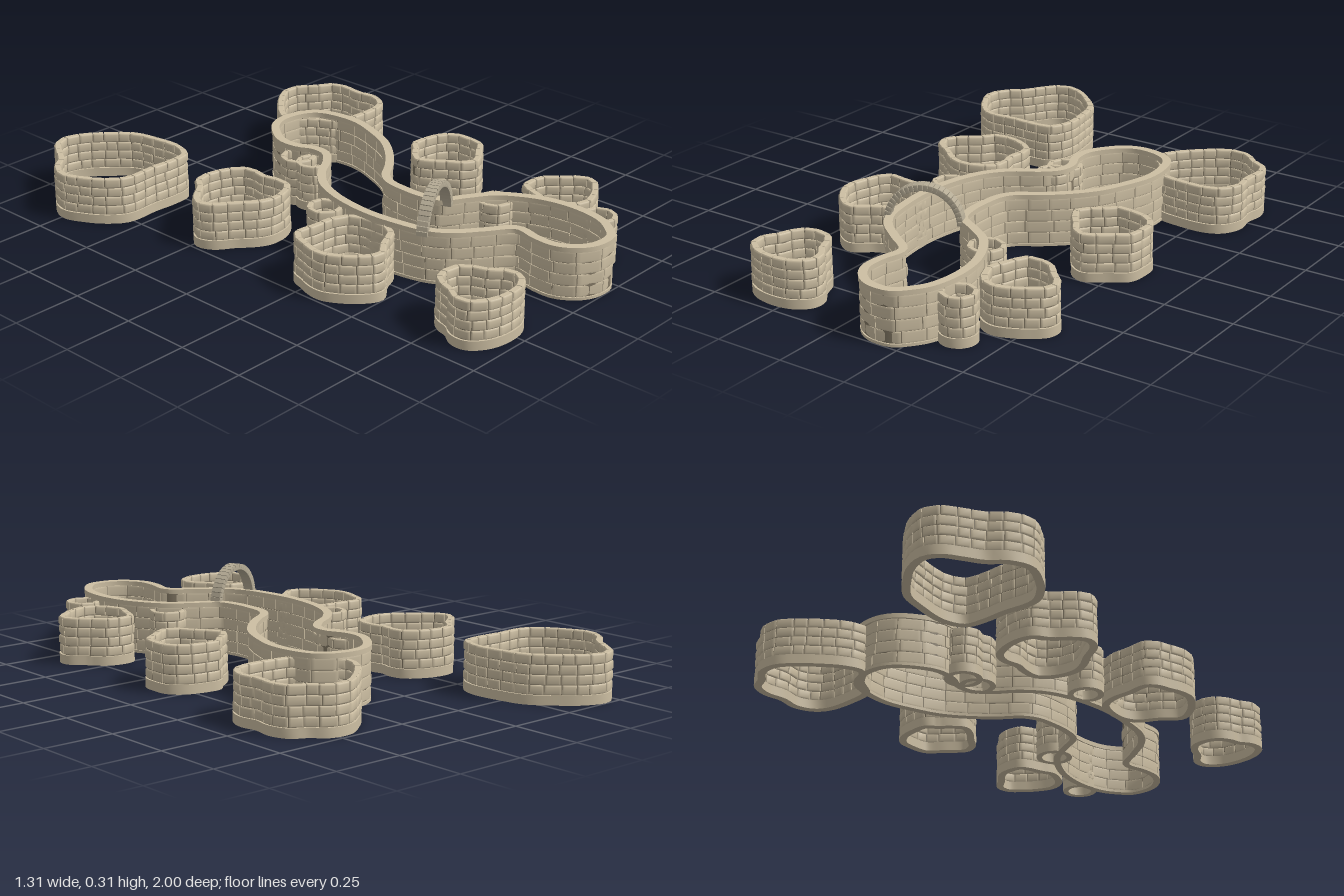
import * as THREE from 'three';
import { mergeGeometries, toCreasedNormals } from 'three/addons/utils/BufferGeometryUtils.js';

const stoneMat = new THREE.MeshStandardMaterial({ color: 0xcdbfa3 });
const mortarMat = new THREE.MeshStandardMaterial({ color: 0x857a66 });
const archMat = new THREE.MeshStandardMaterial({ color: 0xb5ab95 });

// seeded random numbers
let seed = 7;
const rnd = () => (seed = (seed * 16807) % 2147483647) / 2147483647;

// closed smooth outline through x,z pairs
function outline(flat) {
  const pts = [];
  for (let i = 0; i < flat.length; i += 2) pts.push(new THREE.Vector3(flat[i], 0, flat[i + 1]));
  const curve = new THREE.CatmullRomCurve3(pts, true, 'centripetal');
  curve.arcLengthDivisions = 400;
  return curve;
}

function circle(x, z, r, n = 8) {
  const flat = [];
  for (let i = 0; i < n; i++) {
    const a = (i / n) * Math.PI * 2;
    flat.push(x + r * Math.cos(a), z + r * Math.sin(a));
  }
  return flat;
}

// horizontal band of a given width following the outline; the hole runs opposite to the outer edge
function band(curve, width, y0, y1, n) {
  const side = (s) => {
    const pts = [];
    for (let i = 0; i < n; i++) {
      const p = curve.getPointAt(i / n), t = curve.getTangentAt(i / n);
      pts.push(new THREE.Vector2(p.x + s * t.z * width / 2, -(p.z - s * t.x * width / 2)));
    }
    return pts;
  };
  let a = side(1), b = side(-1);
  if (Math.abs(THREE.ShapeUtils.area(a)) < Math.abs(THREE.ShapeUtils.area(b))) [a, b] = [b, a];
  const shape = new THREE.Shape(a);
  shape.holes.push(new THREE.Path(b.reverse()));
  const g = new THREE.ExtrudeGeometry(shape, { depth: y1 - y0, bevelEnabled: false });
  g.rotateX(-Math.PI / 2).translate(0, y0, 0);
  return toCreasedNormals(g, 0.6);
}

// block whose inner and outer faces are pillowed
function block(w, h, d, round) {
  const g = new THREE.BoxGeometry(w, h, d, 3, 3, 1);
  const p = g.attributes.position;
  for (let i = 0; i < p.count; i++) {
    const u = p.getX(i) / (w / 2), v = p.getY(i) / (h / 2);
    const edge = Math.abs(u) > 0.9 || Math.abs(v) > 0.9;
    const grow = (k) => (Math.abs(k) > 0.9 ? k : k * 2.1);
    p.setXYZ(i, grow(u) * w / 2, grow(v) * h / 2, p.getZ(i) * (edge ? 1 - round : 1));
  }
  g.computeVertexNormals();
  return g;
}

// bend a block along the outline, centred at arc length s and height y
function bend(g, curve, s, y) {
  const p = g.attributes.position, total = curve.getLength();
  for (let i = 0; i < p.count; i++) {
    const u = ((s + p.getX(i)) / total + 1) % 1, z = p.getZ(i);
    const c = curve.getPointAt(u), t = curve.getTangentAt(u);
    p.setXYZ(i, c.x - t.z * z, y + p.getY(i), c.z + t.x * z);
  }
  g.computeVertexNormals();
  return g;
}

// courses of blocks laid along the outline, joints nearly in line
function courses(curve, { rows, y0, y1, length, depth, round }) {
  const parts = [], n = Math.max(7, Math.round(curve.getLength() / length));
  const h = (y1 - y0) / rows, cell = curve.getLength() / n;
  for (let r = 0; r < rows; r++) {
    const cuts = Array.from({ length: n }, (_, i) => i + (rnd() - 0.5) * 0.3);
    for (let i = 0; i < n; i++) {
      const end = i + 1 < n ? cuts[i + 1] : cuts[0] + n;
      const g = block((end - cuts[i]) * cell - 0.003, h - 0.002, depth * (0.92 + 0.16 * rnd()), round);
      parts.push(bend(g, curve, ((cuts[i] + end) / 2) * cell, y0 + h * (r + 0.5)));
    }
  }
  return mergeGeometries(parts);
}

function add(group, name, geometry, material) {
  const mesh = new THREE.Mesh(geometry, material);
  mesh.name = name;
  group.add(mesh);
}

// hollow planting bed
function bed(name, flat, small) {
  const g = new THREE.Group(), c = outline(flat), depth = small ? 0.021 : 0.027;
  g.name = name;
  add(g, 'plinth', band(c, depth, 0, 0.033, small ? 24 : 64), stoneMat);
  add(g, 'mortar', band(c, depth * 0.5, 0.03, 0.162, small ? 24 : 64), mortarMat);
  add(g, 'stones', courses(c, { rows: 4, y0: 0.033, y1: 0.168, length: small ? 0.045 : 0.05, depth, round: 0.35 }), stoneMat);
  return g;
}

const beds = {
  backRightBed: [-.43, -.985, -.36, -.96, -.30, -.91, -.23, -.83, -.21, -.75, -.20, -.63, -.235, -.56, -.31, -.55, -.39, -.555,
    -.51, -.555, -.57, -.60, -.61, -.66, -.64, -.74, -.61, -.81, -.56, -.85, -.52, -.91, -.48, -.965],
  backLeftBed: [.45, -.72, .52, -.715, .57, -.67, .62, -.64, .64, -.58, .63, -.51, .64, -.44, .61, -.375, .56, -.35,
    .46, -.35, .37, -.37, .32, -.45, .26, -.51, .28, -.57, .33, -.63, .38, -.675],
  middleRightBed: [-.35, -.36, -.30, -.37, -.235, -.355, -.18, -.32, -.165, -.275, -.175, -.22, -.165, -.175, -.17, -.11,
    -.23, -.07, -.30, -.065, -.35, -.09, -.395, -.13, -.46, -.18, -.475, -.23, -.44, -.275, -.39, -.31],
  bendRightBed: [-.41, .18, -.34, .19, -.27, .195, -.21, .225, -.185, .29, -.185, .36, -.215, .41, -.28, .44, -.35, .485,
    -.405, .455, -.45, .40, -.475, .345, -.47, .29, -.455, .25, -.44, .205],
  frontRightBed: [-.30, .715, -.25, .725, -.22, .76, -.20, .81, -.165, .86, -.165, .905, -.21, .945, -.28, .957,
    -.36, .94, -.41, .895, -.41, .845, -.38, .80, -.37, .765, -.345, .73],
  middleLeftBed: [.405, -.02, .45, -.02, .525, 0, .565, .04, .57, .09, .56, .155, .505, .195, .435, .24, .39, .22,
    .36, .175, .32, .12, .305, .075, .34, .035, .375, .01],
  frontLeftBed: [.39, .50, .44, .495, .485, .51, .525, .555, .575, .61, .57, .655, .53, .69, .49, .715, .425, .735,
    .375, .715, .345, .665, .335, .62, .355, .575, .37, .53],
};
const smallBeds = [[.035, -.25, .056], [.035, -.178, .054], [-.21, .11, .053], [.225, .495, .056], [.36, .83, .054]];

const poolOutline = [.21, -.495, .295, -.48, .345, -.44, .37, -.355, .37, -.265, .335, -.155, .295, -.07, .23, .01, .15, .08,
  .08, .127, .05, .175, .04, .25, .04, .32, .06, .395, .135, .445, .215, .50, .27, .58, .305, .67, .315, .78, .295, .885,
  .255, .945, .215, .98, .135, .98, .08, .945, .045, .885, .045, .81, .06, .72, -.025, .65, -.105, .585, -.15, .515,
  -.175, .395, -.183, .29, -.175, .195, -.155, .105, -.115, .015, -.05, -.055, .03, -.105, .08, -.16, .085, -.22,
  .06, -.28, .06, -.355, .10, -.425, .15, -.475];

export function createModel() {
  const model = new THREE.Group();
  model.name = 'stoneGarden';

  for (const [name, flat] of Object.entries(beds)) model.add(bed(name, flat, false));
  smallBeds.forEach(([x, z, r], i) => model.add(bed('smallBed' + (i + 1), circle(x, z, r), true)));

  // winding pool wall with a smooth coping
  const pool = new THREE.Group(), c = outline(poolOutline);
  pool.name = 'poolWall';
  add(pool, 'poolPlinth', band(c, 0.026, 0, 0.01, 180), stoneMat);
  add(pool, 'poolMortar', band(c, 0.016, 0.008, 0.173, 180), mortarMat);
  add(pool, 'poolStones', courses(c, { rows: 4, y0: 0.01, y1: 0.173, length: 0.08, depth: 0.025, round: 0.12 }), stoneMat);
  add(pool, 'coping', band(c, 0.03, 0.173, 0.19, 180), stoneMat);
  model.add(pool);

  // semicircular arch across the pool
  const wedges = [], n = 24, R = 0.125;
  for (let i = 0; i < n; i++) {
    const a = ((i + 0.5) / n) * Math.PI;
    const g = block((Math.PI * R) / n - 0.001, 0.021, 0.04, 0.05);
    g.rotateZ(a - Math.PI / 2).translate(R * Math.cos(a), R * Math.sin(a), 0);
    wedges.push(g);
  }
  const arch = new THREE.Group();
  arch.name = 'archBridge';
  add(arch, 'archStones', mergeGeometries(wedges), archMat);
  arch.position.set(-0.05, 0.17, 0.46);
  arch.rotation.y = 0.38;
  model.add(arch);
  return model;
}
